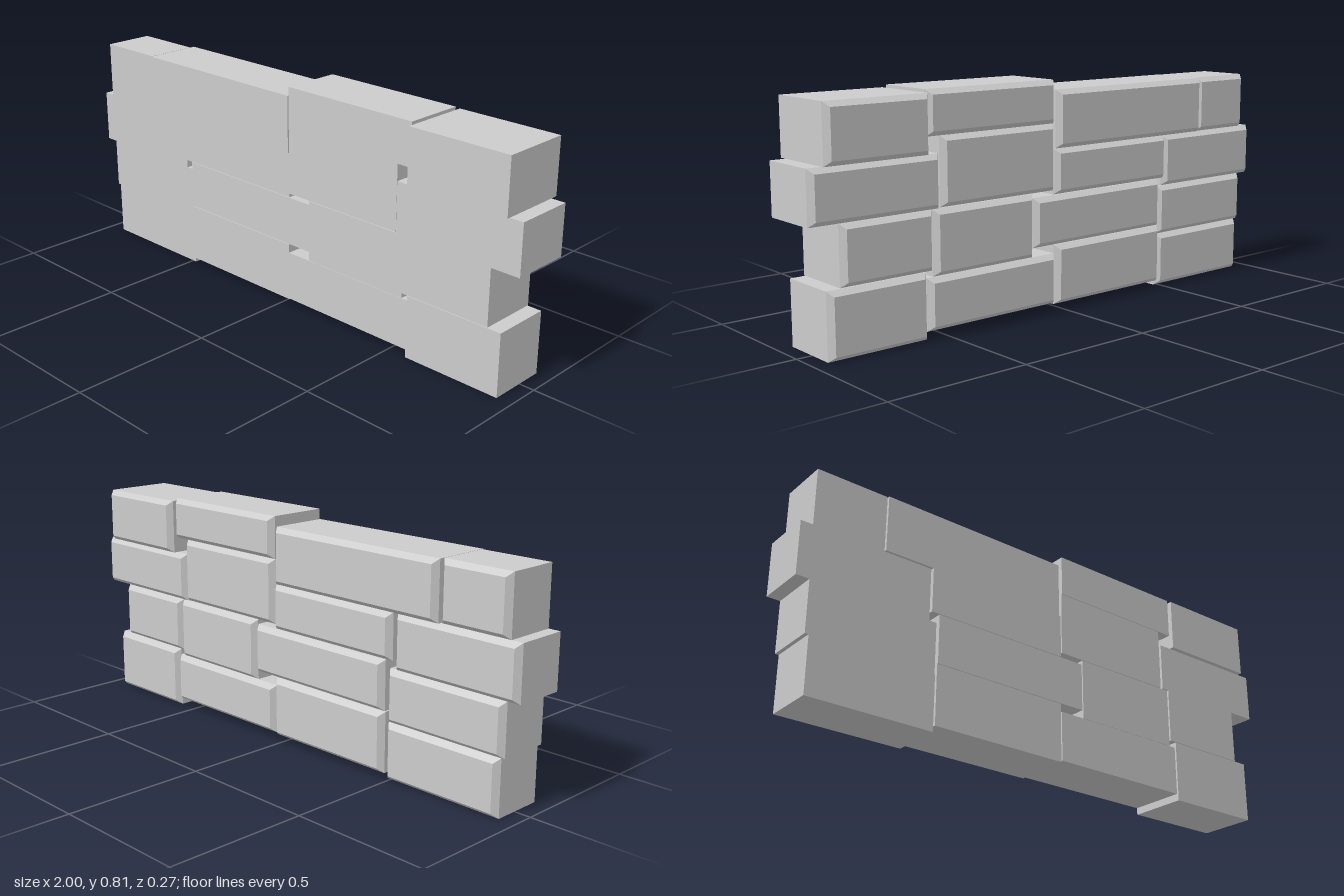
import * as THREE from 'three';

const material = new THREE.MeshStandardMaterial({ color: 0xcccccc, flatShading: true });
const BEVEL = 0.017; // inset of the rear face
const BEVEL_DEPTH = 0.021;

// A block with flat front and a bevelled rear face
function block(x0, x1, y0, y1, back, front) {
  const w = x1 - x0, h = y1 - y0, d = front - back;
  let geo = new THREE.BoxGeometry(w, h, d, 1, 1, 2);
  const p = geo.attributes.position;
  for (let i = 0; i < p.count; i++) {
    const z = p.getZ(i);
    if (Math.abs(z) < 1e-6) {
      p.setZ(i, -d / 2 + BEVEL_DEPTH); // middle ring becomes the bevel start
    } else if (z < 0) {
      p.setX(i, p.getX(i) - Math.sign(p.getX(i)) * BEVEL);
      p.setY(i, p.getY(i) - Math.sign(p.getY(i)) * BEVEL);
    }
  }
  geo = geo.toNonIndexed();
  geo.computeVertexNormals();
  const mesh = new THREE.Mesh(geo, material);
  mesh.position.set((x0 + x1) / 2, (y0 + y1) / 2, (back + front) / 2);
  return mesh;
}

// Each course, from -x to +x: [x0, x1, y0, y1, back z, front z]
const courses = {
  bottomCourse: [
    [-0.94, -0.485, 0, 0.197, -0.10, 0.105],
    [-0.483, 0.032, 0.02, 0.233, -0.115, 0.112],
    [0.034, 0.575, 0.025, 0.203, -0.115, 0.115],
    [0.577, 0.945, 0, 0.223, -0.115, 0.12],
  ],
  secondCourse: [
    [-0.953, -0.487, 0.197, 0.38, -0.10, 0.105],
    [-0.48, 0.13, 0.235, 0.41, -0.115, 0.112],
    [0.132, 0.55, 0.204, 0.425, -0.115, 0.115],
    [0.552, 0.895, 0.225, 0.425, -0.115, 0.12],
  ],
  thirdCourse: [
    [-1, -0.515, 0.38, 0.57, -0.10, 0.105],
    [-0.51, 0.035, 0.412, 0.572, -0.115, 0.112],
    [0.037, 0.518, 0.427, 0.66, -0.115, 0.115],
    [0.523, 1, 0.425, 0.603, -0.115, 0.12],
  ],
  topCourse: [
    [-0.957, -0.697, 0.57, 0.775, -0.10, 0.105],
    [-0.695, 0.028, 0.572, 0.775, -0.118, 0.112],
    [0.038, 0.573, 0.66, 0.81, -0.118, 0.118],
    [0.575, 0.953, 0.605, 0.80, -0.137, 0.135],
  ],
};

export function createModel() {
  const wall = new THREE.Group();
  wall.name = 'stoneWall';
  for (const [name, blocks] of Object.entries(courses)) {
    const course = new THREE.Group();
    course.name = name;
    blocks.forEach((b, i) => {
      const stone = block(...b);
      stone.name = `stoneBlock${i + 1}`;
      course.add(stone);
    });
    wall.add(course);
  }
  return wall;
}
